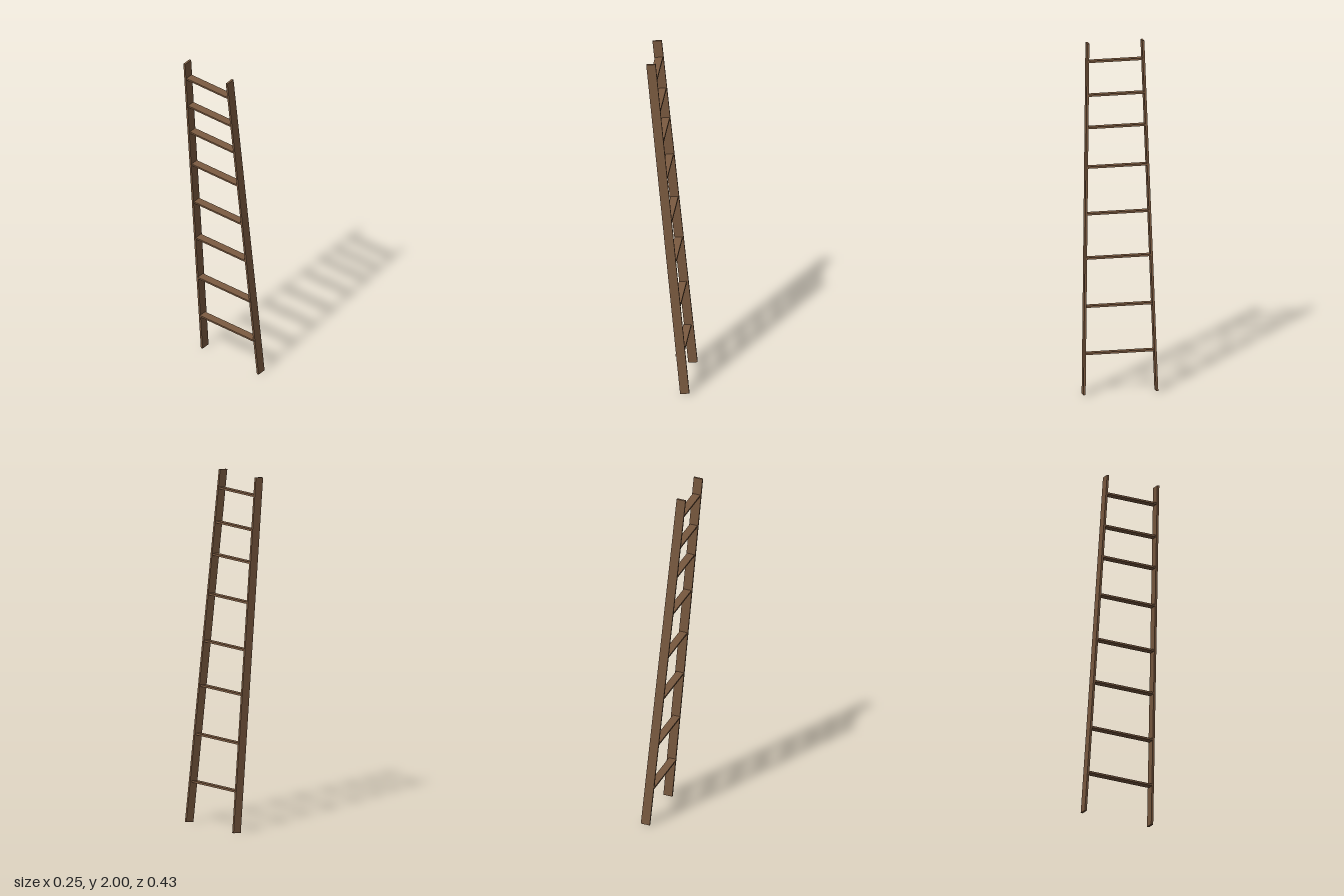
import * as THREE from 'three';

export function createModel() {
  const model = new THREE.Group();
  model.name = 'ladder';
  const wood = new THREE.MeshStandardMaterial({ color: 0x7a5a40 });
  wood.name = 'brownWood';

  const TILT = 0.0984; // lean of the ladder towards -x
  const frontZ = (y) => 0.206 - 0.0298 * y;
  const backZ = (y) => -0.208 + 0.0208 * y;

  // Side rails: leaning planks, sheared in z so they converge upwards
  function addRail(name, zAt) {
    const geo = new THREE.BoxGeometry(0.052, 2.0045, 0.0125);
    geo.rotateZ(TILT).translate(0, 1, 0);
    const pos = geo.attributes.position;
    for (let i = 0; i < pos.count; i++) {
      pos.setZ(i, pos.getZ(i) + zAt(pos.getY(i)));
    }
    geo.computeVertexNormals();
    const rail = new THREE.Mesh(geo, wood);
    rail.name = name;
    model.add(rail);
  }
  addRail('leftRail', frontZ);
  addRail('rightRail', backZ);

  // Rungs: flat treads, unevenly spaced, tilted with the rails [x, y]
  const rungs = [
    [0.068, 0.232], [0.043, 0.5], [0.02, 0.775], [-0.003, 1.027],
    [-0.029, 1.292], [-0.05, 1.517], [-0.069, 1.7], [-0.088, 1.892],
  ];
  rungs.forEach(([x, y], i) => {
    const zf = frontZ(y), zb = backZ(y);
    const rung = new THREE.Mesh(new THREE.BoxGeometry(0.044, 0.011, zf - zb), wood);
    rung.position.set(x, y, (zf + zb) / 2);
    rung.rotation.z = TILT;
    rung.name = `rung${i + 1}`;
    model.add(rung);
  });

  return model;
}
